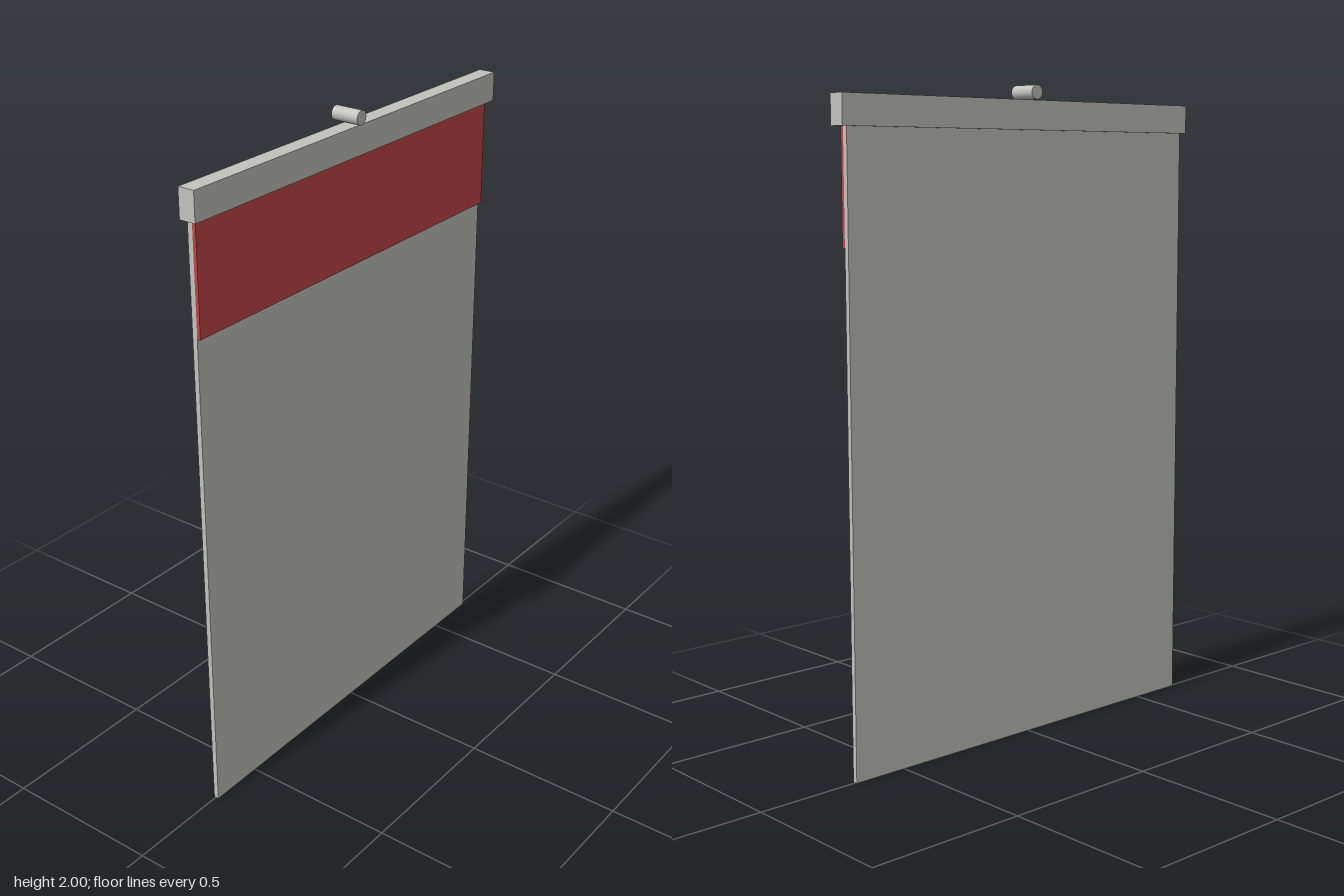
import * as THREE from 'three';

export function createModel() {
  const model = new THREE.Group();
  model.name = 'hangingBanner';

  const grey = new THREE.MeshStandardMaterial({ color: 0xc2c3bd });
  grey.name = 'warmGrey';
  const red = new THREE.MeshStandardMaterial({ color: 0xc24646 });
  red.name = 'red';

  // Adds a box given its lower and upper limits in y and z, centred on x
  function addBox(name, width, y0, y1, z0, z1, material) {
    const mesh = new THREE.Mesh(new THREE.BoxGeometry(width, y1 - y0, z1 - z0), material);
    mesh.position.set(0, (y0 + y1) / 2, (z0 + z1) / 2);
    mesh.name = name;
    model.add(mesh);
  }

  // Thin sheet, red band across its front, and the bar they hang from
  addBox('sheet', 1.35, 0, 1.88, -0.006, 0.01, grey);
  addBox('band', 1.35, 1.535, 1.88, 0.01, 0.021, red);
  addBox('topBar', 1.39, 1.868, 1.957, -0.014, 0.039, grey);

  // Round peg lying front to back on top of the bar
  const peg = new THREE.Mesh(new THREE.CylinderGeometry(0.0215, 0.0215, 0.09, 24), grey);
  peg.rotation.x = Math.PI / 2;
  peg.position.set(0, 1.9785, 0);
  peg.name = 'hangingPeg';
  model.add(peg);

  return model;
}
